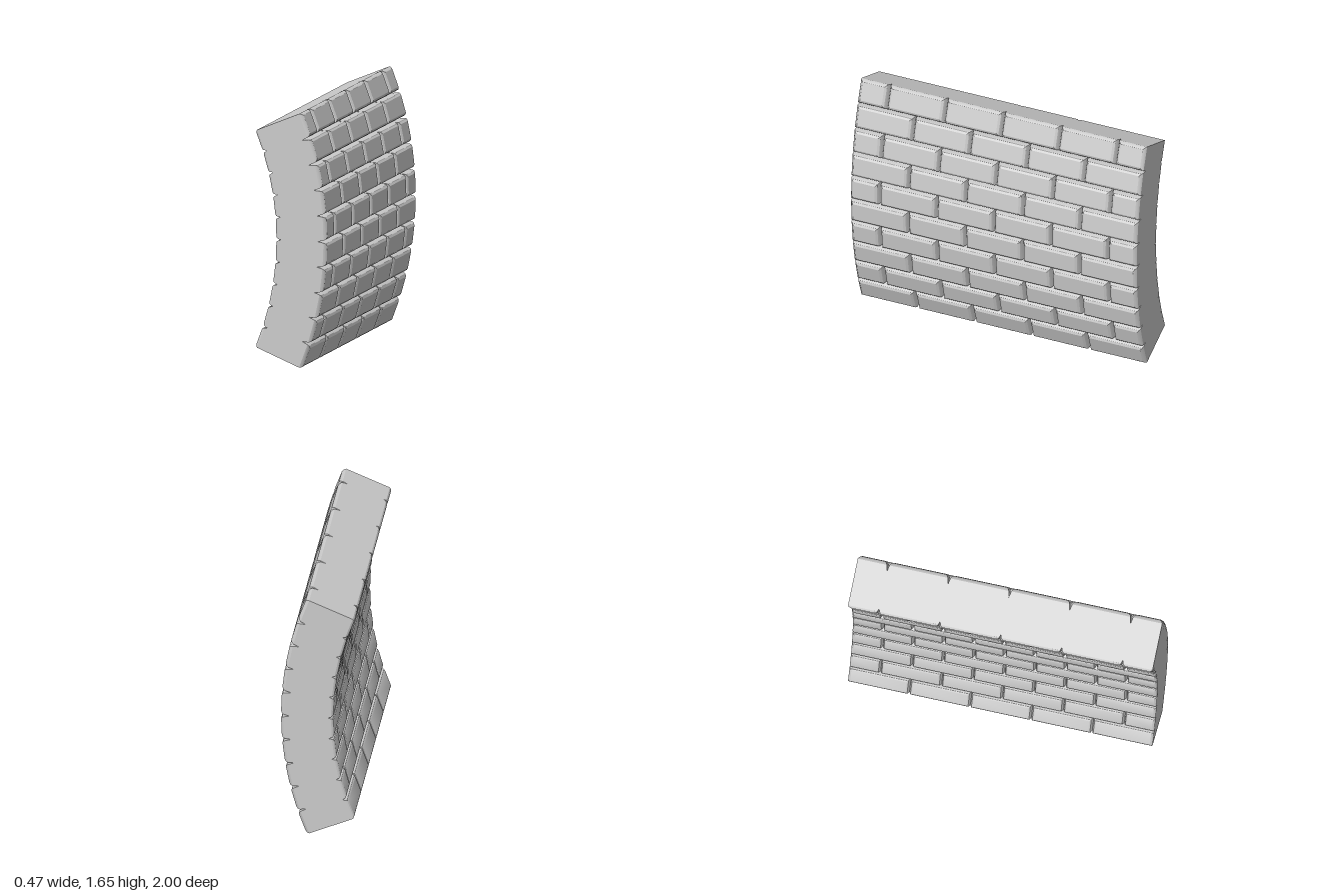
import * as THREE from 'three';
import { toCreasedNormals } from 'three/addons/utils/BufferGeometryUtils.js';

const R_OUT = 2.17, R_IN = 1.83;      // outer and inner face radii
const D_OUT = 0.06, D_IN = 0.035;     // joint depths
const CX = -1.935, CY = 0.828;        // centre of curvature
const COURSES = 10, HALF = Math.PI / 8, STEP = 2 * HALF / COURSES;

const polar = (r, a) => [CX + r * Math.cos(a), CY + r * Math.sin(a)];

// Bevel rings from joint bottom to face: depth, inset at a joint, inset at the wall's edge
const ringsFor = (depth, s) => [
  [depth, 0, 0],
  [0.02 * s, 0.008 * s, 0],
  [0.008 * s, 0.014 * s, 0.007 * s],
  [0, 0.028 * s, 0.02 * s],
];

// One bevelled brick face standing on the core
function brickGeometry(outer, row, z0, z1) {
  const rings = ringsFor(outer ? D_OUT : D_IN, outer ? 1 : 0.8);
  const a0 = -HALF + row * STEP, a1 = a0 + STEP;
  const loops = rings.map(([depth, joint, edge]) => {
    const r = outer ? R_OUT - depth : R_IN + depth;
    const lo = a0 + (row === 0 ? edge : joint) / r;
    const hi = a1 - (row === COURSES - 1 ? edge : joint) / r;
    const back = z0 + (z0 <= -0.999 ? edge : joint);
    const front = z1 - (z1 >= 0.999 ? edge : joint);
    const loop = [[lo, back], [hi, back], [hi, front], [lo, front]]
      .map(([a, z]) => [...polar(r, a), z]);
    return outer ? loop : loop.reverse();
  });
  const pos = [];
  const quad = (a, b, c, d) => pos.push(...a, ...b, ...c, ...a, ...c, ...d);
  for (let i = 0; i < loops.length - 1; i++) {
    for (let j = 0; j < 4; j++) {
      const k = (j + 1) % 4;
      quad(loops[i][j], loops[i][k], loops[i + 1][k], loops[i + 1][j]);
    }
  }
  quad(...loops[loops.length - 1]);
  const g = new THREE.BufferGeometry();
  g.setAttribute('position', new THREE.Float32BufferAttribute(pos, 3));
  return toCreasedNormals(g, 0.5);
}

// Curved slab between the joint bottoms of both faces
function coreGeometry() {
  const pts = [];
  for (let i = 0; i <= COURSES; i++) pts.push(polar(R_OUT - D_OUT, -HALF + i * STEP));
  for (let i = COURSES; i >= 0; i--) pts.push(polar(R_IN + D_IN, -HALF + i * STEP));
  const shape = new THREE.Shape(pts.map(([x, y]) => new THREE.Vector2(x, y)));
  const g = new THREE.ExtrudeGeometry(shape, { depth: 2, bevelEnabled: false });
  return g.translate(0, 0, -1);
}

export function createModel() {
  const wall = new THREE.Group();
  wall.name = 'curvedBrickWall';
  const material = new THREE.MeshStandardMaterial({ color: 0xcccccc });

  const core = new THREE.Mesh(coreGeometry(), material);
  core.name = 'wallCore';
  wall.add(core);

  // Courses alternate between whole bricks and half bricks at both ends
  const even = [-1, -0.6, -0.2, 0.2, 0.6, 1];
  const odd = [-1, -0.8, -0.4, 0, 0.4, 0.8, 1];
  for (const outer of [true, false]) {
    for (let row = 0; row < COURSES; row++) {
      const course = new THREE.Group();
      course.name = (outer ? 'outerCourse' : 'innerCourse') + (row + 1);
      const joints = row % 2 ? odd : even;
      for (let i = 0; i < joints.length - 1; i++) {
        const brick = new THREE.Mesh(brickGeometry(outer, row, joints[i], joints[i + 1]), material);
        brick.name = 'brick' + (i + 1);
        course.add(brick);
      }
      wall.add(course);
    }
  }
  return wall;
}
